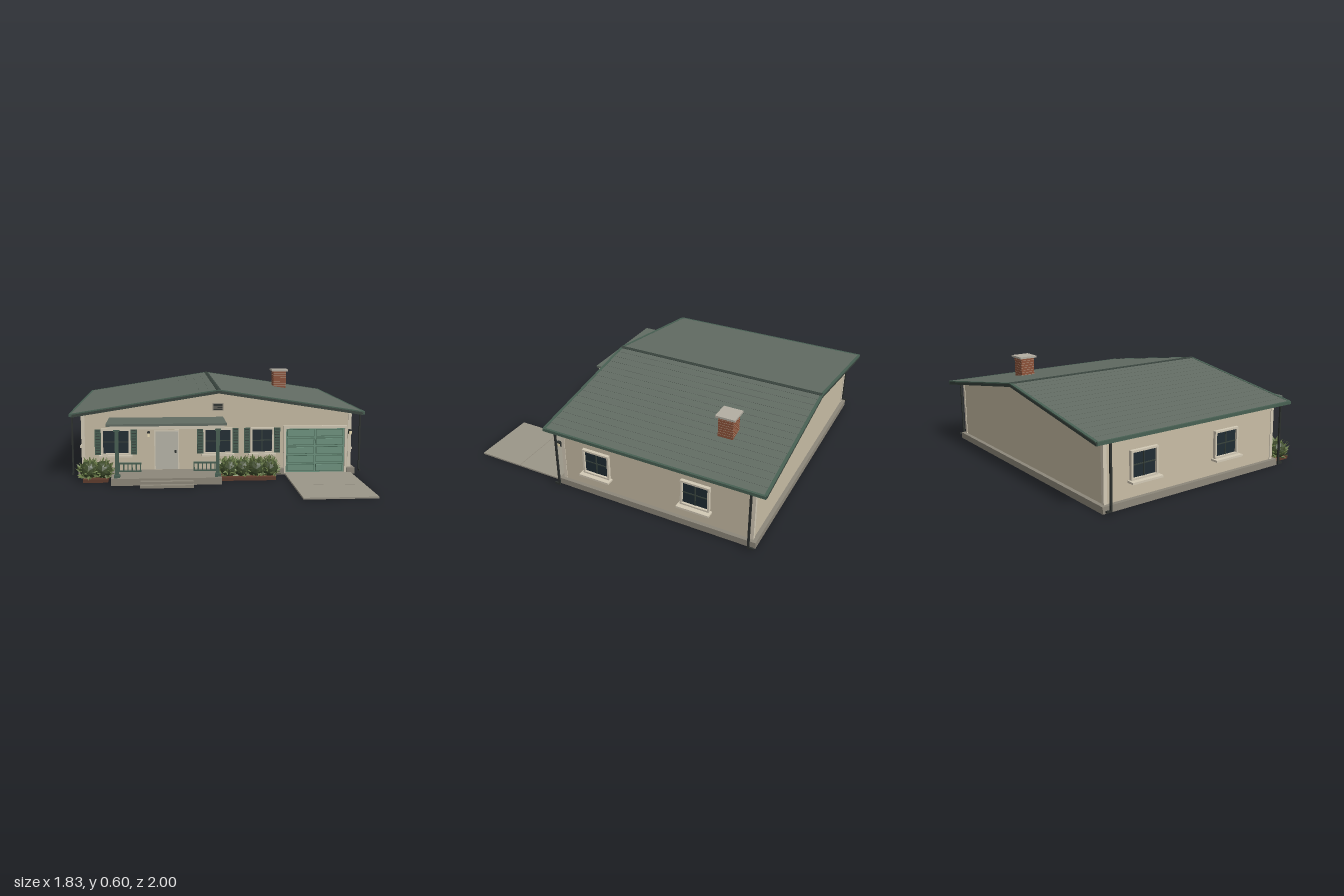
import * as THREE from 'three';
import { mergeGeometries } from 'three/addons/utils/BufferGeometryUtils.js';

const paint = (color, extra = {}) => new THREE.MeshStandardMaterial({ color, ...extra });
const M = {
  wall: paint(0xc8bda5), trim: paint(0xd3cab6), roof: paint(0x626c63), dark: paint(0x37423c),
  green: paint(0x486053), garage: paint(0x6f9480), garageLine: paint(0x4a6a58), glass: paint(0x1f2b32),
  stone: paint(0x8d877a), slab: paint(0x9b9688), door: paint(0xb9b6aa), brick: paint(0x8c5138),
  mortar: paint(0xb09a86), cap: paint(0xb3aea2), mulch: paint(0x5e3b2c), metal: paint(0x2c302e),
  lamp: paint(0xf0e2b8), bush: paint(0x3c4a2a, { flatShading: true }),
  leaf: paint(0x6d7f4a, { side: THREE.DoubleSide, flatShading: true }),
};

// box given by its limits
function box(parent, name, mat, x0, x1, y0, y1, z0, z1) {
  const m = new THREE.Mesh(new THREE.BoxGeometry(x1 - x0, y1 - y0, z1 - z0), mat);
  m.position.set((x0 + x1) / 2, (y0 + y1) / 2, (z0 + z1) / 2);
  m.name = name;
  parent.add(m);
  return m;
}

// front-view outline pulled from z0 to z1
function prism(parent, name, mat, pts, z0, z1) {
  const shape = new THREE.Shape(pts.map(p => new THREE.Vector2(...p)));
  const m = new THREE.Mesh(new THREE.ExtrudeGeometry(shape, { depth: z1 - z0, bevelEnabled: false }), mat);
  m.position.z = z0;
  m.name = name;
  parent.add(m);
  return m;
}

function group(parent, name, x = 0, y = 0, z = 0, ry = 0) {
  const g = new THREE.Group();
  g.name = name;
  g.position.set(x, y, z);
  g.rotation.y = ry;
  parent.add(g);
  return g;
}

// window facing +z, centred at the origin of its group
function addWindow(g, w, h, sill) {
  const a = w / 2, b = h / 2, t = 0.012;
  box(g, 'glass', M.glass, -a, a, -b, b, -0.005, 0.006);
  for (const s of [-1, 1]) {
    box(g, 'frameSide', M.trim, s * a - t / 2, s * a + t / 2, -b, b, 0, 0.02);
    box(g, 'frameRail', M.trim, -a - t / 2, a + t / 2, s * b - t / 2, s * b + t / 2, 0, 0.021);
  }
  box(g, 'mullion', M.dark, -0.003, 0.003, -b, b, 0, 0.011);
  box(g, 'crossBar', M.dark, -a, a, -0.003, 0.003, 0, 0.01);
  box(g, 'sill', M.trim, -a - 0.018, a + 0.018, -b - 0.016, -b - 0.004, 0, sill);
}

function addShutter(g, x, h) {
  box(g, 'shutter', M.green, x - 0.019, x + 0.019, -h / 2, h / 2, 0, 0.012);
  for (let i = 0; i < 9; i++) {
    const y = -h / 2 + h * (i + 0.5) / 9;
    box(g, 'louvre', M.dark, x - 0.013, x + 0.013, y - 0.002, y + 0.003, 0.01, 0.016);
  }
}

// roof outline between two height offsets
const ridgeY = 0.552, eaveY = 0.41, eaveX = 0.905;
const roofBand = (top, bottom, w = eaveX) => [
  [-w, eaveY + top], [-w, eaveY + bottom], [0, ridgeY + bottom],
  [w, eaveY + bottom], [w, eaveY + top], [0, ridgeY + top]];

function addRoof(house) {
  const g = group(house, 'roof');
  prism(g, 'roofDeck', M.roof, roofBand(-0.003, -0.018), -0.99, 0.425);
  for (const [z0, z1] of [[0.415, 0.428], [-0.995, -0.982]]) {
    prism(g, 'bargeBoard', M.dark, roofBand(-0.001, -0.024), z0, z1);
    prism(g, 'bargeEdge', M.green, roofBand(0, -0.007), z0 - 0.002, z1 + 0.002);
  }
  const slope = Math.atan2(ridgeY - eaveY, eaveX);
  for (const s of [-1, 1]) {
    // thin overlapping shingle courses
    for (let i = 0; i < 16; i++) {
      const t = (i + 0.5) / 16;
      const c = box(g, 'shingleCourse', M.roof, -0.029, 0.029, -0.002, 0.002, -0.98, 0.415);
      c.position.set(s * eaveX * t, ridgeY + (eaveY - ridgeY) * t - 0.004, -0.2825);
      c.rotation.z = -s * (slope - 0.025);
    }
    const x = s * 0.908;
    box(g, 'gutter', M.green, x - 0.009, x + 0.009, 0.39, 0.409, -0.993, 0.428);
    // downspouts hang from the gutters and kick out at the foot
    for (const [z, d] of [[0.345, 1], [-0.91, -1]]) {
      box(g, 'downspout', M.metal, x - 0.005, x + 0.005, 0.025, 0.395, z - 0.006, z + 0.006);
      box(g, 'downspoutFoot', M.metal, x - 0.005, x + 0.005, 0.018, 0.03, z - 0.006 + Math.min(0, d * 0.025), z + 0.006 + Math.max(0, d * 0.025));
    }
  }
  prism(g, 'ridgeCap', M.dark, [[-0.014, 0.547], [0.014, 0.547], [0.014, 0.55], [0, 0.555], [-0.014, 0.55]], -0.99, 0.428);

  const c = group(g, 'chimney', 0.533, 0, -0.61);
  box(c, 'chimneyStack', M.brick, -0.047, 0.047, 0.42, 0.59, -0.047, 0.047);
  for (let y = 0.475; y < 0.58; y += 0.016) box(c, 'mortarLine', M.mortar, -0.0475, 0.0475, y, y + 0.002, -0.0475, 0.0475);
  box(c, 'chimneyCap', M.cap, -0.061, 0.061, 0.587, 0.6, -0.061, 0.061);
}

function addPorch(house) {
  const g = group(house, 'porch');
  box(g, 'porchDeck', M.stone, -0.655, 0.005, 0, 0.042, 0.35, 0.61);
  box(g, 'upperStep', M.stone, -0.48, -0.165, 0, 0.03, 0.6, 0.65);
  box(g, 'lowerStep', M.stone, -0.48, -0.165, 0, 0.016, 0.64, 0.685);
  box(g, 'porchRoof', M.roof, -0.68, 0.033, 0.358, 0.372, 0.33, 0.62);
  box(g, 'porchFascia', M.trim, -0.668, 0.021, 0.338, 0.359, 0.33, 0.61);
  for (const x of [-0.62, -0.017]) {
    box(g, 'post', M.green, x - 0.011, x + 0.011, 0.042, 0.34, 0.56, 0.582);
    box(g, 'postBase', M.green, x - 0.017, x + 0.017, 0.042, 0.06, 0.554, 0.588);
    box(g, 'postTop', M.green, x - 0.017, x + 0.017, 0.322, 0.339, 0.554, 0.588);
  }
  for (const x of [-0.609, -0.163]) {
    const r = group(g, 'railing', x, 0, 0.571);
    box(r, 'topRail', M.green, 0, 0.135, 0.122, 0.132, -0.007, 0.007);
    box(r, 'bottomRail', M.green, 0, 0.135, 0.076, 0.084, -0.005, 0.005);
    for (let i = 0; i <= 5; i++) box(r, 'baluster', M.green, i * 0.025, i * 0.025 + 0.007, 0.076, 0.124, -0.004, 0.004);
  }
}

function addGarage(house) {
  const g = group(house, 'garage');
  box(g, 'garageDoor', M.garage, 0.43, 0.81, 0.01, 0.295, 0.335, 0.347);
  for (let r = 0; r < 5; r++) for (let c = 0; c < 2; c++) {
    const x = 0.44 + c * 0.185, y = 0.017 + r * 0.056;
    box(g, 'panelGroove', M.garageLine, x, x + 0.175, y, y + 0.047, 0.345, 0.349);
    box(g, 'doorPanel', M.garage, x + 0.004, x + 0.171, y + 0.004, y + 0.043, 0.345, 0.352);
  }
  for (const x of [0.418, 0.81]) box(g, 'garageJamb', M.trim, x, x + 0.014, 0, 0.31, 0.335, 0.362);
  box(g, 'garageHeader', M.trim, 0.418, 0.824, 0.294, 0.311, 0.335, 0.363);
  box(g, 'driveway', M.slab, 0.425, 0.85, 0, 0.01, 0.335, 0.698);
  box(g, 'drivewayEnd', M.slab, 0.425, 0.85, 0, 0.01, 0.702, 1);
  box(g, 'drivewayJoint', M.stone, 0.426, 0.849, 0, 0.008, 0.69, 0.71);
}

// leafy shrubs: a dark core with leaves scattered over it
let seed = 7;
const rand = () => (seed = (seed * 16807) % 2147483647) / 2147483647;
function addShrub(parent, x, z, r) {
  const g = group(parent, 'shrub', x, 0.068, z);
  const core = new THREE.Mesh(new THREE.IcosahedronGeometry(r * 0.72, 1), M.bush);
  core.name = 'shrubCore';
  core.scale.y = 0.95;
  g.add(core);
  const leaves = [];
  for (let i = 0; i < 110; i++) {
    const u = rand() * 2 - 1, a = rand() * Math.PI * 2, q = Math.sqrt(1 - u * u);
    const dir = new THREE.Vector3(q * Math.cos(a), u, q * Math.sin(a));
    const leaf = new THREE.ConeGeometry(0.011, 0.036, 3, 1, true);
    leaf.scale(1, 1, 0.35);
    leaf.rotateY(rand() * 6);
    leaf.applyQuaternion(new THREE.Quaternion().setFromUnitVectors(new THREE.Vector3(0, 1, 0), dir.clone().add(new THREE.Vector3(rand() - 0.5, rand() * 0.8, rand() - 0.5)).normalize()));
    dir.multiplyScalar(r * (0.7 + rand() * 0.2));
    leaf.translate(dir.x, Math.max(dir.y, -0.045), dir.z);
    leaves.push(leaf);
  }
  const m = new THREE.Mesh(mergeGeometries(leaves), M.leaf);
  m.name = 'shrubLeaves';
  g.add(m);
}

export function createModel() {
  const house = new THREE.Group();
  house.name = 'house';

  // foundation, open in front of the garage door
  box(house, 'foundation', M.stone, -0.875, 0.875, 0, 0.04, -0.94, 0.335);
  box(house, 'foundationFront', M.stone, -0.875, 0.42, 0, 0.04, 0.33, 0.37);
  box(house, 'foundationCorner', M.stone, 0.822, 0.875, 0, 0.04, 0.33, 0.37);

  // walls with gable ends
  prism(house, 'walls', M.wall, [[-0.85, 0.03], [0.85, 0.03], [0.85, 0.402], [0, 0.536], [-0.85, 0.402]], -0.915, 0.342);
  for (const x of [-0.843, 0.843]) for (const z of [0.335, -0.908])
    box(house, 'cornerBoard', M.trim, x - 0.011, x + 0.011, 0.04, 0.398, z - 0.011, z + 0.011);

  addRoof(house);
  addPorch(house);
  addGarage(house);

  // front windows with shutters
  for (const [x, w] of [[-0.64, 0.17], [0, 0.17], [0.28, 0.138]]) {
    const g = group(house, 'frontWindow', x, 0.22, 0.342);
    addWindow(g, w, 0.155, 0.035);
    for (const s of [-1, 1]) addShutter(g, s * (w / 2 + 0.027), 0.16);
  }
  // side windows
  for (const [s, z] of [[1, 0.095], [1, -0.56], [-1, -0.06], [-1, -0.66]])
    addWindow(group(house, 'sideWindow', s * 0.85, 0.222, z, s * Math.PI / 2), 0.17, 0.155, 0.05);

  // front door
  const d = group(house, 'frontDoor', -0.323, 0, 0.342);
  box(d, 'doorFrame', M.trim, -0.078, 0.078, 0.042, 0.292, 0, 0.01);
  box(d, 'doorLeaf', M.door, -0.07, 0.07, 0.045, 0.284, 0, 0.018);
  box(d, 'doorHandle', M.metal, 0.05, 0.06, 0.15, 0.165, 0.015, 0.028);

  // wall lamps
  for (const x of [-0.435, 0.84]) {
    const l = group(house, 'wallLamp', x, 0.268, 0.342);
    box(l, 'lampBracket', M.metal, -0.006, 0.006, -0.012, 0.018, 0, 0.025);
    box(l, 'lampGlass', M.lamp, -0.007, 0.007, -0.013, 0.01, 0.022, 0.042);
    box(l, 'lampHood', M.metal, -0.01, 0.01, 0.01, 0.016, 0.018, 0.046);
  }

  // gable vent
  const v = group(house, 'gableVent', 0, 0.435, 0.342);
  box(v, 'ventFrame', M.stone, -0.035, 0.035, -0.023, 0.023, 0, 0.008);
  for (let i = 0; i < 5; i++) box(v, 'ventSlat', M.metal, -0.029, 0.029, -0.018 + i * 0.008, -0.013 + i * 0.008, 0.005, 0.011);

  // planting beds
  const beds = group(house, 'plantingBeds');
  box(beds, 'leftBed', M.mulch, -0.83, -0.68, 0, 0.02, 0.36, 0.52);
  box(beds, 'rightBed', M.mulch, 0.006, 0.345, 0, 0.02, 0.36, 0.52);
  for (const x of [-0.8, -0.715, 0.06, 0.14, 0.225, 0.31]) addShrub(beds, x, 0.455, 0.08);
  return house;
}
